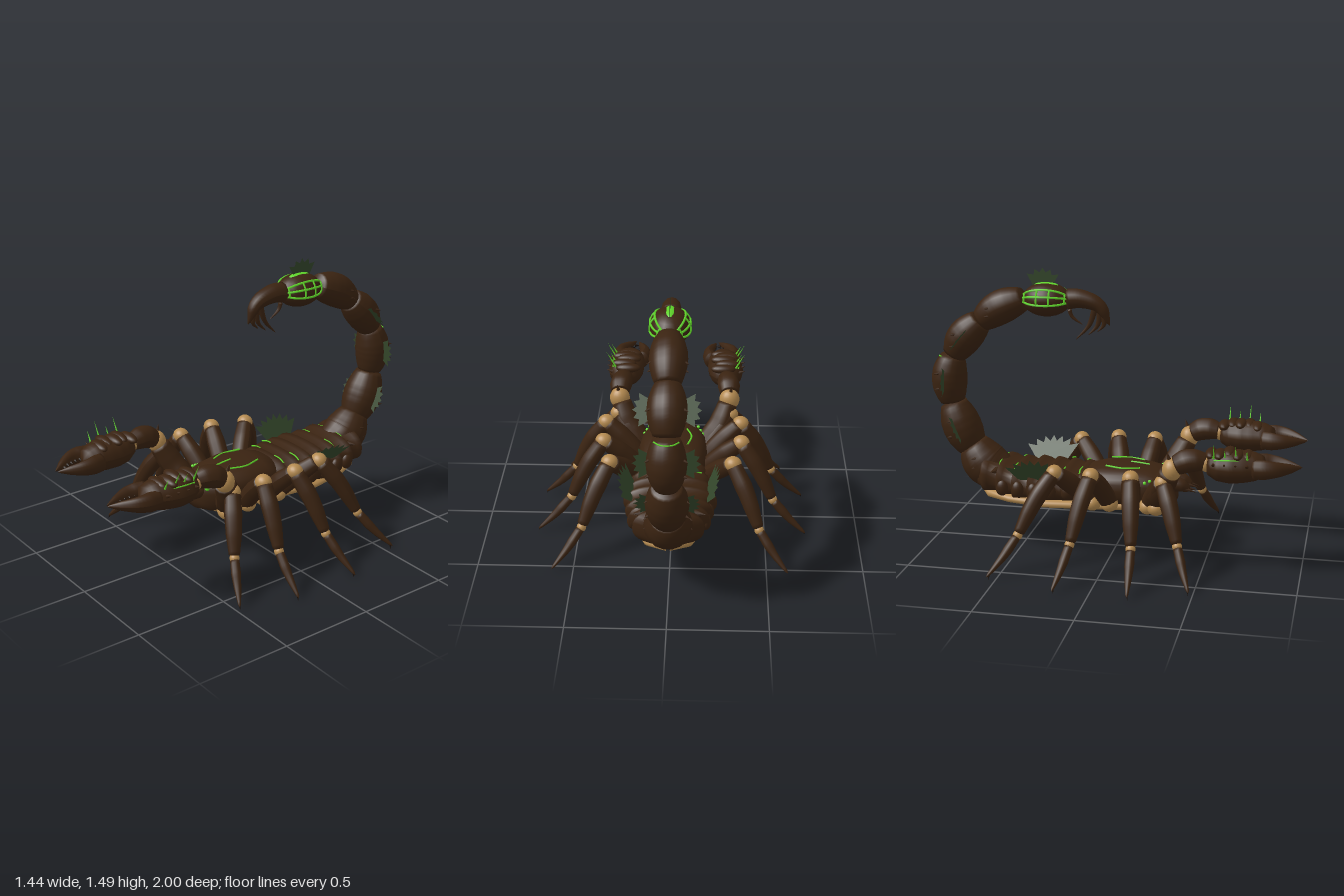
import * as THREE from 'three';

const mat = (name, color) => Object.assign(new THREE.MeshStandardMaterial({ color }), { name });
const V = (x, y, z) => new THREE.Vector3(x, y, z);

export function createModel() {
  const model = new THREE.Group();
  model.name = 'scorpion';
  const shell = mat('brown shell', 0x3a2311);
  const tan = mat('tan joints', 0xb48a50);
  const green = mat('bright green', 0x5fd42a);
  const dark = mat('dark claw', 0x1a1009);
  const finMat = mat('green fin', 0x33462a);
  finMat.side = THREE.DoubleSide;

  const add = (name, geometry, material) => {
    const mesh = new THREE.Mesh(geometry, material);
    mesh.name = name;
    model.add(mesh);
    return mesh;
  };

  // Closed tube of changing radius along a smooth path, optionally squashed about its axis
  function limb(name, pts, radii, material, squash = [1, 1, 1], sides = 12) {
    const curve = new THREE.CatmullRomCurve3(pts.map((p) => V(...p)));
    const n = 20;
    const geo = new THREE.TubeGeometry(curve, n, 1, sides, false);
    const pos = geo.attributes.position, p = V(0, 0, 0), sq = V(...squash);
    for (let i = 0; i <= n; i++) {
      const c = curve.getPointAt(i / n);
      const f = (i / n) * (radii.length - 1), k = Math.min(Math.floor(f), radii.length - 2);
      const r = i === 0 || i === n ? 0.0005 : THREE.MathUtils.lerp(radii[k], radii[k + 1], f - k);
      for (let j = 0; j <= sides; j++) {
        const id = i * (sides + 1) + j;
        p.fromBufferAttribute(pos, id).sub(c).multiplyScalar(r).multiply(sq).add(c);
        pos.setXYZ(id, p.x, p.y, p.z);
      }
    }
    geo.computeVertexNormals();
    return add(name, geo, material);
  }

  // Body made of rounded sections [z, half width, bottom, top], listed front to back
  function loft(name, sections, material, power = 0.8) {
    const m = 28, verts = [], index = [];
    const pw = (v) => Math.sign(v) * Math.abs(v) ** power;
    sections.forEach(([z, w, lo, hi], i) => {
      for (let j = 0; j < m; j++) {
        const a = (j / m) * Math.PI * 2;
        verts.push(w * pw(Math.cos(a)), (lo + hi) / 2 + ((hi - lo) / 2) * pw(Math.sin(a)), z);
        if (i === sections.length - 1) continue;
        const k = (j + 1) % m, A = i * m + j, B = i * m + k;
        index.push(A, A + m, B, B, A + m, B + m);
      }
    });
    const geo = new THREE.BufferGeometry();
    geo.setAttribute('position', new THREE.Float32BufferAttribute(verts, 3));
    geo.setIndex(index);
    geo.computeVertexNormals();
    return add(name, geo, material);
  }

  function ball(name, p, r, material) {
    const mesh = add(name, new THREE.SphereGeometry(1, 20, 14), material);
    mesh.position.set(...p);
    mesh.scale.set(...(Array.isArray(r) ? r : [r, r, r]));
    return mesh;
  }

  function spike(name, p, dir, length, radius, material) {
    const geo = new THREE.ConeGeometry(radius, length, 6).translate(0, length / 2, 0);
    const mesh = add(name, geo, material);
    mesh.position.set(...p);
    mesh.quaternion.setFromUnitVectors(V(0, 1, 0), V(...dir).normalize());
  }

  const stripe = (name, pts, r = 0.005) =>
    add(name, new THREE.TubeGeometry(new THREE.CatmullRomCurve3(pts.map((p) => V(...p))), 24, r, 5), green);

  // Webbed fan with pointed rays and scalloped webbing
  function fan(name, p, along, out, half, height, rays = 5) {
    const shape = new THREE.Shape();
    shape.moveTo(-half * 0.6, 0);
    for (let i = 0; i < rays * 2 - 1; i++) {
      const t = (i / (rays * 2 - 2)) * 2 - 1, k = i % 2 ? 0.76 : 1;
      shape.lineTo(half * t * k, height * k * (1 - 0.35 * t * t));
    }
    shape.lineTo(half * 0.6, 0);
    const mesh = add(name, new THREE.ShapeGeometry(shape), finMat);
    const a = V(...along).normalize(), o = V(...out).normalize();
    mesh.quaternion.setFromRotationMatrix(new THREE.Matrix4().makeBasis(a, o, a.clone().cross(o)));
    mesh.position.set(...p);
  }

  // Head shield
  loft('carapace', [[0.335, 0.002, 0.3, 0.36], [0.325, 0.08, 0.27, 0.41], [0.27, 0.145, 0.25, 0.445],
    [0.18, 0.175, 0.25, 0.462], [0.06, 0.185, 0.25, 0.475], [-0.06, 0.175, 0.25, 0.465],
    [-0.14, 0.15, 0.26, 0.445], [-0.15, 0.01, 0.3, 0.4]], shell);

  // Overlapping back plates, each flaring toward its rear edge
  const widths = [0.18, 0.2, 0.215, 0.225, 0.21, 0.195, 0.17, 0.12];
  const plates = [[-0.08, 0.02, 0.3, 0.38]];
  for (let i = 0; i < 7; i++) {
    const z = -0.09 - i * 0.088, top = 0.435 + Math.max(0, i - 4) * 0.014;
    const lo = 0.262 + Math.max(0, i - 4) * 0.012;
    plates.push([z, widths[i] - 0.02, lo, top - 0.012], [z - 0.05, widths[i] + 0.004, lo, top + 0.008],
      [z - 0.08, widths[i] + 0.008, lo, top + 0.014]);
  }
  plates.push([-0.72, 0.12, 0.29, 0.47], [-0.78, 0.07, 0.32, 0.44], [-0.8, 0.005, 0.36, 0.4]);
  loft('abdomen', plates, shell);

  // Pale underside
  loft('belly', [[0.25, 0.01, 0.25, 0.27], [0.24, 0.1, 0.238, 0.29], [0.1, 0.15, 0.234, 0.3],
    [-0.15, 0.175, 0.23, 0.3], [-0.35, 0.205, 0.232, 0.305], [-0.55, 0.175, 0.24, 0.31],
    [-0.68, 0.12, 0.25, 0.31], [-0.75, 0.01, 0.28, 0.3]], tan);

  // Tail segments: path start, middle, end in [y, z], with the widest radius
  const tail = [
    [[0.36, -0.58], [0.41, -0.71], [0.53, -0.8], 0.122],
    [[0.48, -0.78], [0.62, -0.85], [0.76, -0.9], 0.106],
    [[0.74, -0.895], [0.88, -0.912], [1.02, -0.885], 0.096],
    [[1.0, -0.89], [1.11, -0.82], [1.21, -0.72], 0.095],
    [[1.19, -0.74], [1.27, -0.63], [1.33, -0.48], 0.092],
  ];
  tail.forEach(([a, b, c, r], i) => {
    const path = [a, b, c].map(([y, z]) => [0, y, z]);
    limb('tailSegment', path, [0.6, 0.82, 0.96, 1, 0.96, 0.82, 0.6].map((k) => k * r), shell, [1, 1, 1], 18);
    // Green seam on the outer side of each tail joint
    const d = V(0, c[0] - b[0], c[1] - b[1]).normalize();
    if (i > 0 && i < 4) stripe('tailSeam', [-0.9, -0.45, 0, 0.45, 0.9].map((t) => [
      0.075 * Math.sin(t), c[0] - d.z * 0.075 * Math.cos(t), c[1] + d.y * 0.075 * Math.cos(t) * (d.y > 0 ? -1 : 1)]), 0.004);
    for (const s of [-1, 1]) {
      if (i > 0 && i < 4) fan('tailFin', [s * 0.075, b[0] + 0.005, b[1]], [0, c[0] - a[0], c[1] - a[1]], [s, 0, 0], 0.078, 0.085);
      for (const k of [0.35, 0.65]) spike('tailThorn', [s * r * 0.8, a[0] + (c[0] - a[0]) * k, b[1] - 0.03], [s, 0, -1], 0.035, 0.01, shell);
    }
  });

  // Venom bulb with glowing bands
  const bulb = [0, 1.325, -0.37], br = [0.1, 0.088, 0.13];
  ball('venomBulb', bulb, br, shell);
  const onBulb = (lat, lon) => [
    bulb[0] + br[0] * 1.015 * Math.cos(lat) * Math.cos(lon),
    bulb[1] + br[1] * 1.015 * Math.cos(lat) * Math.sin(lon),
    bulb[2] + br[2] * 1.015 * Math.sin(lat)];
  const spread = [-1, -0.6, -0.2, 0.2, 0.6, 1];
  for (const s of [-1, 1]) {
    const flip = ([x, y, z]) => [s * x, y, z];
    for (const lon of [0.75, 0.3, -0.2]) stripe('bulbBand', spread.map((t) => flip(onBulb(t * 1.05, lon))), 0.006);
    for (const lat of [-0.95, -0.25, 0.25, 0.95])
      stripe('bulbCrossBand', spread.map((t) => flip(onBulb(lat, 0.25 + t * 0.48))), 0.005);
  }
  ball('bulbSpot', [0, 1.398, -0.37], [0.028, 0.018, 0.065], green);
  fan('bulbCrest', [0, 1.395, -0.39], [0, 0, 1], [0, 1, 0], 0.085, 0.095);

  // Hooked sting with trailing barbs
  limb('sting', [[0, 1.33, -0.27], [0, 1.335, -0.19], [0, 1.3, -0.09], [0, 1.2, -0.035]],
    [0.055, 0.05, 0.042, 0.03, 0.004], shell);
  [[1.3, -0.11, 1.12, -0.215], [1.28, -0.085, 1.145, -0.15], [1.265, -0.07, 1.165, -0.1]].forEach(([y, z, ty, tz]) =>
    limb('stingBarb', [[0, y, z], [0, (y + ty) / 2 - 0.012, (z + tz) / 2 + 0.018], [0, ty, tz]], [0.018, 0.012, 0.002], shell, [1, 1, 1], 8));
  limb('rearBarb', [[0, 1.28, -0.25], [0, 1.24, -0.235], [0, 1.2, -0.18]], [0.012, 0.008, 0.002], shell, [1, 1, 1], 8);

  // Legs: hip z, knee, ankle and foot
  const legs = [
    [0.2, [0.31, 0.47, 0.3], [0.46, 0.19, 0.4], [0.61, 0.01, 0.48]],
    [0.11, [0.365, 0.5, 0.145], [0.54, 0.19, 0.18], [0.72, 0.01, 0.195]],
    [0.0, [0.365, 0.5, -0.06], [0.54, 0.19, -0.13], [0.72, 0.01, -0.18]],
    [-0.09, [0.32, 0.49, -0.26], [0.46, 0.19, -0.42], [0.61, 0.01, -0.545]],
  ];

  for (const s of [-1, 1]) {
    const X = ([x, y, z]) => [s * x, y, z];
    const mid = (a, b, t, lift) => a.map((v, i) => v + (b[i] - v) * t + (i === 1 ? lift : 0));
    for (const [hz, knee, ankle, foot] of legs) {
      const hip = [0.16, 0.285, hz];
      ball('hipJoint', X([0.185, 0.295, hz]), [0.05, 0.042, 0.045], tan);
      limb('thigh', [hip, mid(hip, knee, 0.5, 0.01), knee].map(X), [0.045, 0.05, 0.05, 0.04], shell);
      ball('knee', X(knee), [0.045, 0.04, 0.042], tan);
      limb('shin', [knee, mid(knee, ankle, 0.5, 0.025), ankle].map(X), [0.04, 0.046, 0.04, 0.026], shell);
      ball('ankle', X(ankle), 0.025, tan);
      limb('foot', [ankle, mid(ankle, foot, 0.5, -0.01), foot].map(X), [0.023, 0.025, 0.017, 0.006], shell);
      spike('footClaw', X(mid(ankle, foot, 0.93, 0)), [s * 0.5, -1, 0.2], 0.03, 0.007, dark);
    }

    // Pincer arm
    ball('shoulder', X([0.2, 0.3, 0.25]), [0.06, 0.045, 0.05], tan);
    limb('upperArm', [[0.16, 0.31, 0.23], [0.25, 0.41, 0.28], [0.3, 0.53, 0.34]].map(X), [0.055, 0.065, 0.064, 0.052], shell);
    ball('elbow', X([0.305, 0.54, 0.345]), [0.056, 0.06, 0.05], tan);
    spike('elbowSpike', X([0.31, 0.57, 0.34]), [s * 0.1, 1, -0.3], 0.065, 0.018, shell);
    limb('forearm', [[0.305, 0.56, 0.36], [0.3, 0.59, 0.43], [0.285, 0.585, 0.52]].map(X), [0.05, 0.062, 0.058, 0.042], shell);
    ball('wrist', X([0.29, 0.58, 0.515]), [0.046, 0.045, 0.03], tan);
    limb('hand', [[0.29, 0.575, 0.51], [0.285, 0.57, 0.64], [0.262, 0.575, 0.82]].map(X),
      [0.05, 0.09, 0.1, 0.096, 0.085, 0.05], shell, [1, 0.85, 1], 16);
    for (let i = 0; i < 5; i++)
      ball('handCrest', X([0.27 + 0.025 * (i % 2), 0.638 - Math.abs(i - 2) * 0.006, 0.54 + i * 0.045]), [0.07, 0.026, 0.032], shell);
    limb('outerFinger', [[0.325, 0.57, 0.74], [0.328, 0.575, 0.85], [0.245, 0.572, 0.99]].map(X),
      [0.045, 0.046, 0.035, 0.022, 0.003], shell, [0.85, 1.1, 1]);
    limb('innerFinger', [[0.205, 0.57, 0.74], [0.188, 0.57, 0.84], [0.232, 0.57, 0.985]].map(X),
      [0.045, 0.044, 0.034, 0.021, 0.003], shell, [0.85, 1.1, 1]);
    for (let i = 0; i < 5; i++) {
      const z = 0.82 + i * 0.028;
      spike('outerTooth', X([0.302 - i * i * 0.003, 0.572, z]), [-s, 0, 0.2], 0.03, 0.009, dark);
      spike('innerTooth', X([0.203 + i * 0.003, 0.57, z]), [s, 0, 0.2], 0.026, 0.009, dark);
    }
    // Bristles and green markings on the hand
    for (let i = 0; i < 4; i++) {
      spike('handBristle', X([0.34, 0.62, 0.56 + i * 0.055]), [s * 0.55, 1, 0], i % 2 ? 0.07 : 0.11, 0.006, green);
      spike('handThorn', X([0.355, 0.59, 0.56 + i * 0.055]), [s, 0.4, 0], 0.045, 0.012, shell);
    }
    stripe('handStripe', [[0.355, 0.615, 0.56], [0.362, 0.62, 0.64], [0.345, 0.615, 0.72]].map(X), 0.004);

    // Mouth pincers and eyes
    limb('mouthPincer', [[0.04, 0.38, 0.28], [0.045, 0.375, 0.35], [0.04, 0.35, 0.4]].map(X), [0.035, 0.042, 0.034, 0.015], shell);
    for (const x of [0.025, 0.058]) spike('mouthFang', X([x, 0.36, 0.37]), [0, -0.25, 1], 0.07, 0.013, shell);
    ball('sideEye', X([0.1, 0.405, 0.305]), 0.013, green);
    for (let i = 0; i < 3; i++) ball('shieldDot', X([0.135 + i * 0.012, 0.425 - i * 0.008, 0.23 - i * 0.025]), 0.009, green);

    // Green markings on shield and back plates
    stripe('shieldStripe', [[0.075, 0.463, 0.14], [0.1, 0.464, 0.06], [0.08, 0.468, -0.04]].map(X));
    for (const [i, x] of [[0, 0.1], [1, 0.12], [4, 0.1], [5, 0.08]]) {
      const z = -0.17 - i * 0.088, top = 0.442 + Math.max(0, i - 4) * 0.014;
      stripe('plateStripe', [[x - 0.04, top + 0.004, z], [x, top, z - 0.004], [x + 0.04, top - 0.012, z]].map(X), 0.004);
    }

    // Side frills, knobs and rear thorns
    fan('sideFrill', X([0.19, 0.4, -0.4]), [0, -0.12, -1], [s * 0.5, 0.85, 0], 0.145, 0.14, 7);
    for (let i = 0; i < 6; i++) ball('sideKnob', X([widths[i] - 0.012, 0.345, -0.14 - i * 0.088]), [0.028, 0.045, 0.034], shell);
    spike('rearThorn', X([0.13, 0.42, -0.62]), [s, 0.1, -0.4], 0.06, 0.022, shell);
  }
  stripe('shieldMark', [[0, 0.473, 0.08], [0, 0.469, 0.13], [0, 0.463, 0.18]]);
  return model;
}
